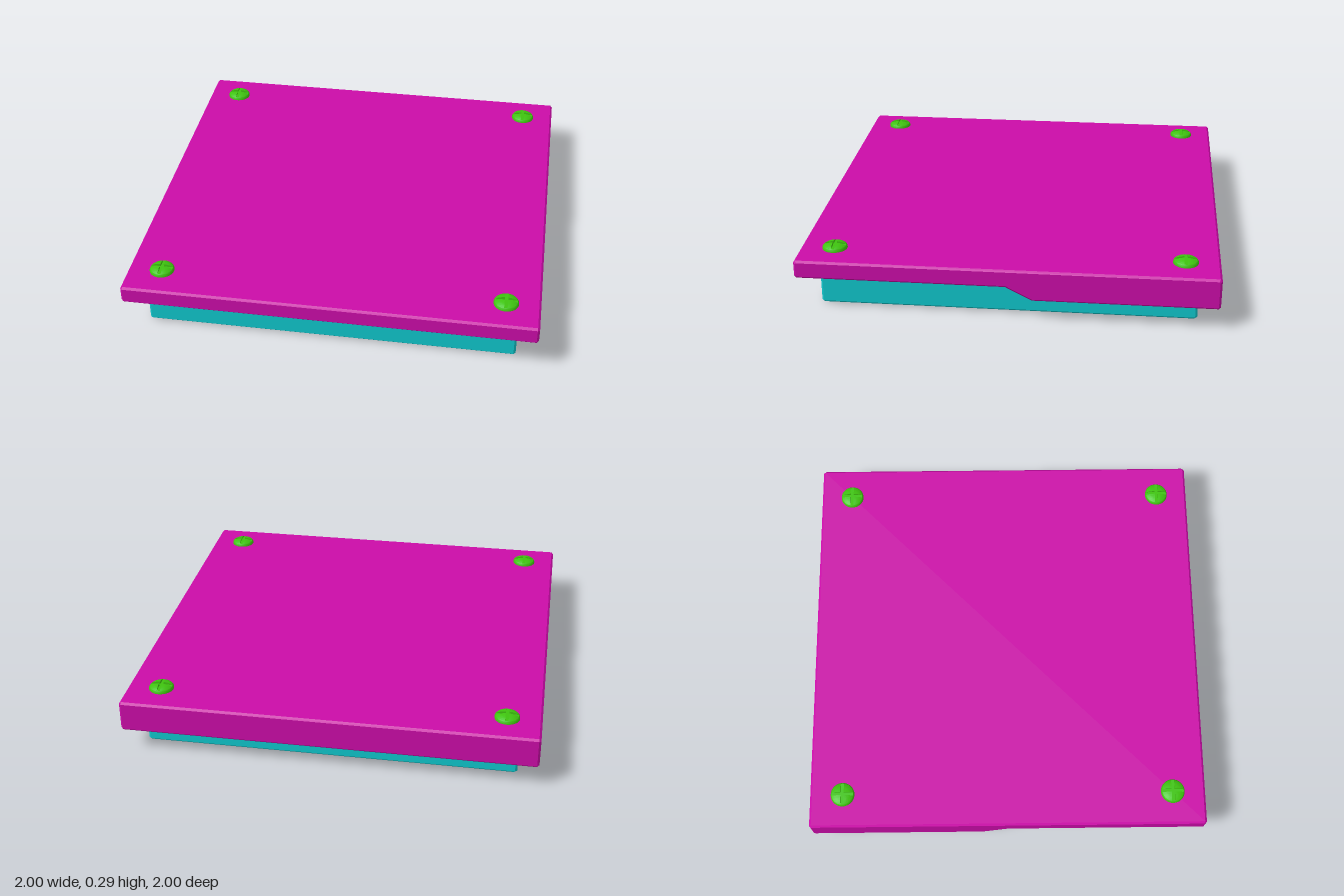
import * as THREE from 'three';
import { toCreasedNormals } from 'three/addons/utils/BufferGeometryUtils.js';

const CHAMFER = 0.01;
const material = (color) => new THREE.MeshStandardMaterial({ color });

// Prism of the given outline, centred along its depth, with chamfered ends
function chamferedPrism(points, depth) {
  const shape = new THREE.Shape(points.map(([x, y]) => new THREE.Vector2(x, y)));
  const geometry = new THREE.ExtrudeGeometry(shape, {
    depth: depth - 2 * CHAMFER, bevelEnabled: true, bevelSegments: 1,
    bevelThickness: CHAMFER, bevelSize: CHAMFER, bevelOffset: -CHAMFER,
  });
  return geometry.translate(0, 0, -depth / 2 + CHAMFER);
}

// Screw head: elliptical dome, cut above FLOOR by a cross slot
const R = 0.06, RIM = 0.27, RISE = 0.025, FLOOR = 0.281, SLOT = 0.008;
const domeY = (r) => RIM + RISE * Math.sqrt(Math.max(0, 1 - (r / R) ** 2));
const FLOOR_R = R * Math.sqrt(1 - ((FLOOR - RIM) / RISE) ** 2);

function screwBase() {
  const profile = [new THREE.Vector2(R, 0.25)];
  for (let i = 0; i <= 4; i++) {
    const a = (i / 4) * Math.asin((FLOOR - RIM) / RISE);
    profile.push(new THREE.Vector2(R * Math.cos(a), RIM + RISE * Math.sin(a)));
  }
  profile.push(new THREE.Vector2(0, FLOOR));
  return toCreasedNormals(new THREE.LatheGeometry(profile, 32), 0.6);
}

// One quarter of the dome top; the first and last columns drop to the slot floor
function screwQuarter() {
  const cols = 10, rows = 6;
  const geometry = new THREE.PlaneGeometry(1, 1, cols, rows);
  const pos = geometry.attributes.position;
  const start = Math.asin(SLOT / FLOOR_R);
  for (let i = 0; i < pos.count; i++) {
    const col = i % (cols + 1);
    const t = 1 - Math.floor(i / (cols + 1)) / rows;
    const u = THREE.MathUtils.clamp((col - 1) / (cols - 2), 0, 1);
    const a = THREE.MathUtils.lerp(start, Math.PI / 2 - start, u);
    const x = THREE.MathUtils.lerp(SLOT, FLOOR_R * Math.cos(a), t);
    const z = THREE.MathUtils.lerp(SLOT, FLOOR_R * Math.sin(a), t);
    const wall = col === 0 || col === cols;
    pos.setXYZ(i, x, wall ? FLOOR : domeY(Math.hypot(x, z)), z);
  }
  return toCreasedNormals(geometry, 0.6);
}

export function createModel() {
  const model = new THREE.Group();

  // Square base block
  const b = 0.9, bc = b - CHAMFER;
  const baseGeometry = chamferedPrism([
    [-bc, -b], [bc, -b], [b, -bc], [b, bc], [bc, b], [-bc, b], [-b, bc], [-b, -bc],
  ], 0.2).rotateX(-Math.PI / 2).translate(0, 0.1, 0);
  const base = new THREE.Mesh(baseGeometry, material(0x0fc6cb));
  base.name = 'base';
  model.add(base);

  // Cover plate: side outline, thin at the front and stepping down at the back
  const c = CHAMFER, top = 0.265, front = 0.175, back = 0.11;
  const coverGeometry = chamferedPrism([
    [-1 + c, front], [0, front], [0.125, back], [1 - c, back], [1, back + c],
    [1, top - c], [1 - c, top], [-1 + c, top], [-1, top - c], [-1, front + c],
  ], 2).rotateY(Math.PI / 2);
  const cover = new THREE.Mesh(coverGeometry, material(0xcb0ca8));
  cover.name = 'coverPlate';
  model.add(cover);

  // Corner screws
  const green = material(0x3fc40f);
  const headGeometry = screwBase(), quarterGeometry = screwQuarter();
  for (const sx of [-1, 1]) {
    for (const sz of [-1, 1]) {
      const screw = new THREE.Group();
      screw.name = `${sz > 0 ? 'front' : 'back'}${sx > 0 ? 'Left' : 'Right'}Screw`;
      const head = new THREE.Mesh(headGeometry, green);
      head.name = 'screwHead';
      screw.add(head);
      for (let q = 0; q < 4; q++) {
        const quarter = new THREE.Mesh(quarterGeometry, green);
        quarter.name = 'screwDomeQuarter';
        quarter.rotation.y = (q * Math.PI) / 2;
        screw.add(quarter);
      }
      screw.position.set(sx * 0.835, 0, sz * 0.835);
      model.add(screw);
    }
  }
  return model;
}
